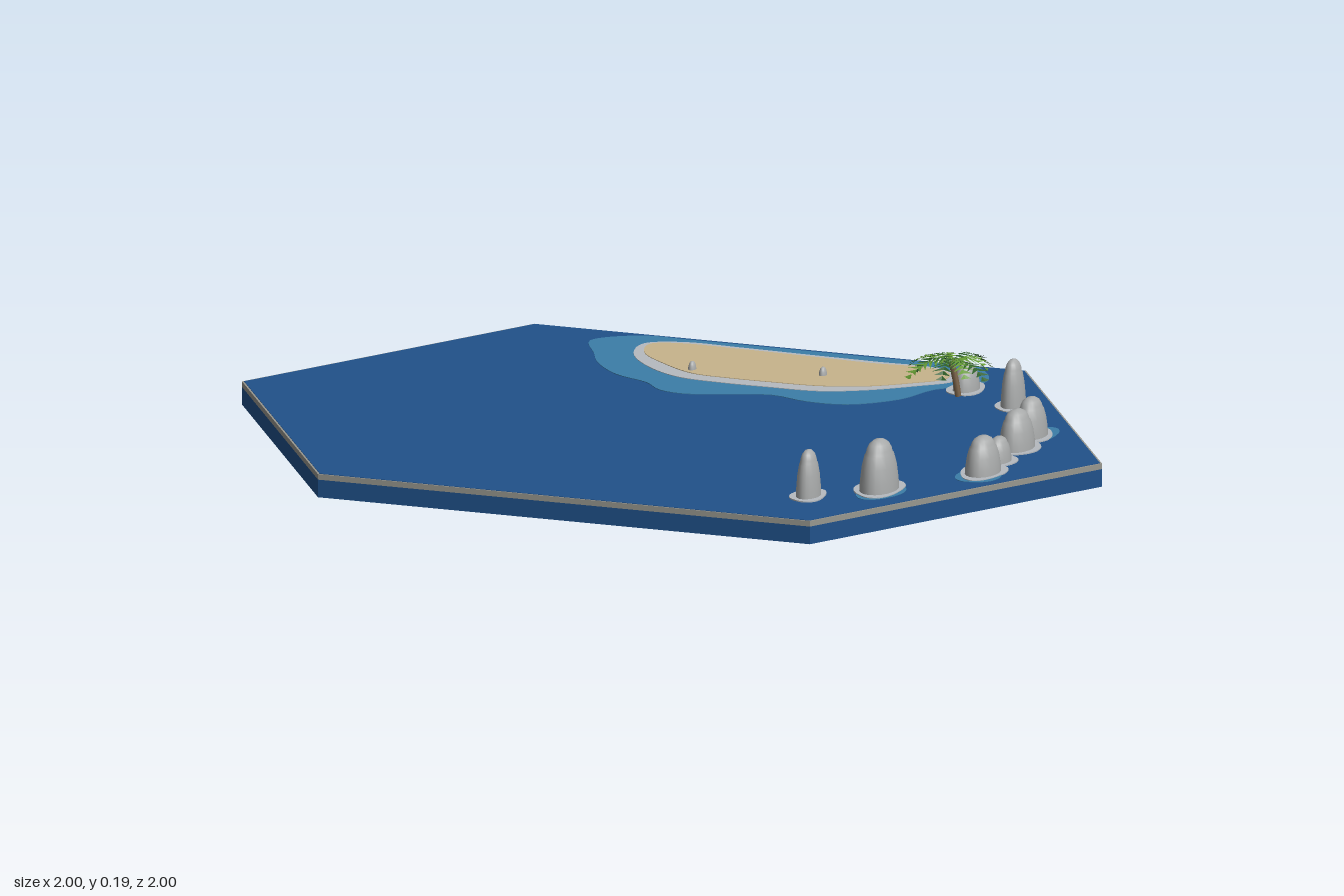
import * as THREE from 'three';

const mat = (name, color, side = THREE.FrontSide) => {
  const m = new THREE.MeshStandardMaterial({ color, side });
  m.name = name;
  return m;
};
const TOP = 0.06;

export function createModel() {
  const group = new THREE.Group();
  const sea = mat('deepWater', 0x20518a);
  const shallow = mat('shallowWater', 0x3c7ea8);
  const foam = mat('foam', 0xb6bbc0);
  const sand = mat('sand', 0xc8b48c);
  const stone = mat('rock', 0xa9abab);
  const edge = mat('rimStone', 0x98978f);
  const bark = mat('bark', 0x7a6248);
  const leafDark = mat('darkLeaf', 0x2f5f2a, THREE.DoubleSide);
  const leafLight = mat('lightLeaf', 0x659a34, THREE.DoubleSide);

  const add = (name, geometry, material, parent = group) => {
    const mesh = new THREE.Mesh(geometry, material);
    mesh.name = name;
    parent.add(mesh);
    return mesh;
  };

  // Flat slab with an outline in (x, z), from y0 to y1
  const slab = (name, pts, y0, y1, material, smooth = false) => {
    const v = pts.map(([x, z]) => new THREE.Vector2(x, -z));
    const outline = smooth
      ? new THREE.CatmullRomCurve3(v.map(p => new THREE.Vector3(p.x, p.y, 0)), true)
        .getPoints(96).slice(0, -1).map(p => new THREE.Vector2(p.x, p.y))
      : v;
    const g = new THREE.ExtrudeGeometry(new THREE.Shape(outline), { depth: y1 - y0, bevelEnabled: false });
    g.rotateX(-Math.PI / 2).translate(0, y0, 0);
    return add(name, g, material);
  };

  // Hexagonal base: water body, stone rim and water surface
  const hex = [[0.085, -1], [1, -0.085], [0.8, 0.8], [-0.085, 1], [-1, 0.085], [-0.8, -0.8]];
  slab('waterBody', hex, 0, 0.045, sea);
  slab('rim', hex, 0.045, 0.059, edge);
  slab('waterSurface', hex.map(([x, z]) => [x * 0.995, z * 0.995]), 0.059, TOP, sea);

  // Beach with foam line and shallows
  slab('shallows', [[0.14, -0.79], [0.2, -0.8], [0.29, -0.77], [0.36, -0.7], [0.47, -0.59], [0.61, -0.45],
    [0.73, -0.33], [0.84, -0.23], [0.9, -0.18], [0.9, -0.1], [0.87, -0.03], [0.81, 0], [0.72, -0.01],
    [0.6, 0.04], [0.46, 0.03], [0.38, -0.04], [0.33, -0.13], [0.24, -0.18], [0.14, -0.23],
    [0.1, -0.29], [0.1, -0.37], [0.065, -0.47], [0.07, -0.59], [0.1, -0.68]], TOP, 0.0615, shallow, true);
  slab('foamLine', [[0.25, -0.705], [0.34, -0.675], [0.45, -0.565], [0.59, -0.415], [0.7, -0.3], [0.8, -0.2],
    [0.83, -0.13], [0.79, -0.055], [0.68, -0.055], [0.56, -0.07], [0.45, -0.11], [0.35, -0.2],
    [0.26, -0.29], [0.19, -0.38], [0.165, -0.5], [0.185, -0.63]], 0.0615, 0.063, foam, true);
  slab('beach', [[0.26, -0.69], [0.33, -0.66], [0.43, -0.56], [0.57, -0.41], [0.68, -0.29], [0.78, -0.2],
    [0.81, -0.13], [0.78, -0.08], [0.68, -0.08], [0.57, -0.1], [0.47, -0.15], [0.38, -0.23],
    [0.3, -0.31], [0.235, -0.39], [0.21, -0.505], [0.21, -0.62]], 0.063, 0.0645, sand, true);

  // Domed rocks with a ledge below the cap, each in a foam ring: x, z, radius, top
  const profile = [[1, 0], [0.97, 0.2], [0.88, 0.48], [0.74, 0.7], [0.66, 0.74], [0.64, 0.8],
    [0.5, 0.91], [0.27, 0.98], [0, 1]].map(([r, y]) => new THREE.Vector2(r, y));
  const dome = new THREE.LatheGeometry(profile, 20);
  const ring = (x, z, r, seed) => Array.from({ length: 14 }, (_, i) => {
    const a = i / 14 * Math.PI * 2;
    const k = r * (1 + 0.07 * Math.sin(3 * a + seed));
    const u = Math.cos(a) * k * 1.2, w = Math.sin(a) * k * 0.8;
    return [x + (u + w) * 0.707, z + (w - u) * 0.707];
  });
  [[0.83, 0.21, 0.037, 0.18], [0.79, 0.02, 0.04, 0.13], [0.75, 0.49, 0.049, 0.16], [0.67, 0.58, 0.053, 0.16],
    [0.575, 0.68, 0.037, 0.125], [0.495, 0.76, 0.053, 0.155], [0.195, 0.8, 0.058, 0.19], [0.01, 0.785, 0.037, 0.18],
  ].forEach(([x, z, r, top], i) => {
    const rock = add('rock', dome, stone);
    rock.position.set(x, TOP, z);
    rock.scale.set(r * 1.2, top - TOP, r * 0.8);
    rock.rotation.y = Math.PI / 4;
    slab('rockFoam', ring(x, z, r + 0.016, i), TOP, 0.0625 + i * 0.0001, foam, true);
  });

  // Patches of shallow water beside the larger rocks
  [[0.77, 0.485, 0.062], [0.48, 0.775, 0.068], [0.19, 0.815, 0.072]].forEach(([x, z, r], i) =>
    slab('rockShallows', ring(x, z, r, i * 2), TOP, 0.0612, shallow, true));

  // Pebbles on the sand
  [[0.25, -0.425], [0.52, -0.24]].forEach(([x, z]) => {
    const p = add('pebble', dome, stone);
    p.position.set(x, 0.062, z);
    p.scale.set(0.014, 0.023, 0.01);
    p.rotation.y = Math.PI / 4;
  });

  // Palm: curved trunk and a crown of feathered, drooping fronds
  const palm = new THREE.Group();
  palm.name = 'palm';
  palm.position.set(0.73, 0, 0.06);
  group.add(palm);
  const bend = new THREE.QuadraticBezierCurve3(new THREE.Vector3(0.015, TOP, 0.01),
    new THREE.Vector3(0.01, 0.11, 0.005), new THREE.Vector3(0, 0.15, 0));
  add('trunk', new THREE.TubeGeometry(bend, 8, 0.008, 7), bark, palm);

  const frond = (length) => {
    const pos = [];
    const at = t => [t * length, 0.018 * Math.sin(t * 2.2) - 0.038 * t * t];
    const n = 8;
    for (let i = 0; i < n; i++) {
      const t = (i + 0.4) / n;
      const [x0, y0] = at(t), [x1, y1] = at(t + 0.8 / n);
      const w = 0.033 * Math.sin(Math.PI * (0.2 + 0.72 * t));
      for (const s of [-1, 1]) {
        const tip = [x0 + w * 0.9, y0 - 0.008, s * w];
        const a = [x0, y0, 0], b = [x1, y1, 0];
        pos.push(...(s > 0 ? [...a, ...tip, ...b] : [...a, ...b, ...tip]));
      }
    }
    const g = new THREE.BufferGeometry();
    g.setAttribute('position', new THREE.Float32BufferAttribute(pos, 3));
    g.computeVertexNormals();
    return g;
  };
  for (let i = 0; i < 11; i++) {
    const f = add('frond', frond(0.105 + 0.022 * Math.sin(i * 2.3)), i % 2 ? leafDark : leafLight, palm);
    f.position.y = 0.149 + (i % 3) * 0.002;
    f.rotation.y = i / 11 * Math.PI * 2 + 0.15 * Math.sin(i * 4);
  }
  return group;
}
